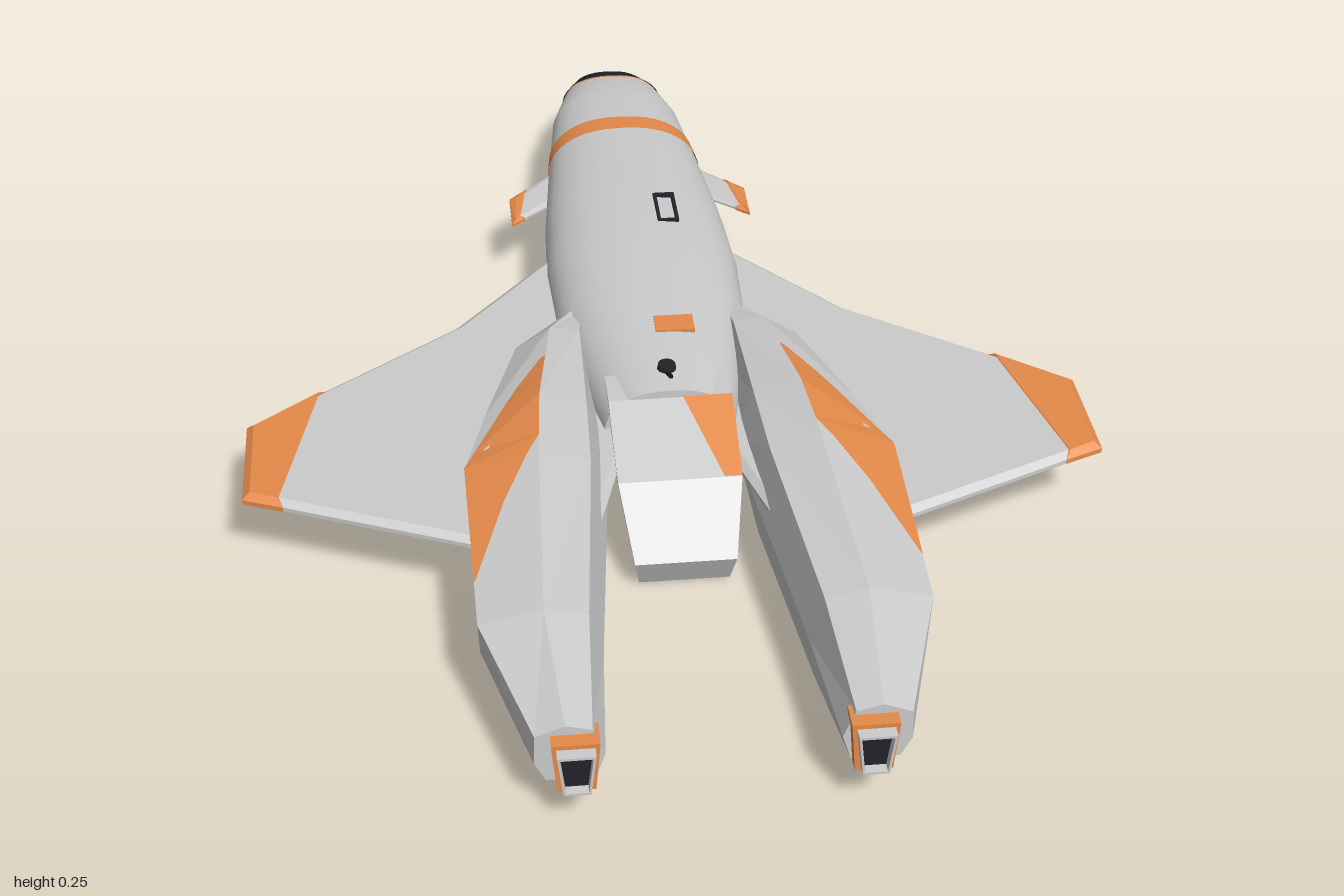
import * as THREE from 'three';
import { mergeVertices } from 'three/addons/utils/BufferGeometryUtils.js';

const mat = (color, flat = true) => new THREE.MeshStandardMaterial({ color, flatShading: flat, side: THREE.DoubleSide });
const GREY = mat(0xcccccc), SMOOTH = mat(0xcccccc, false);
const ORANGE = mat(0xe58a4a), ORANGE_SMOOTH = mat(0xe58a4a, false);
const BLACK = mat(0x22222a), BLACK_SMOOTH = mat(0x22222a, false);

// Skin through rows of [x, y, z] points; rows run along +z, rings counter-clockwise seen from +z
function loft(rows, closed = true, caps = closed) {
  const n = rows[0].length, pos = rows.flat(2), index = [];
  for (let i = 0; i < rows.length - 1; i++) {
    for (let j = 0; j < (closed ? n : n - 1); j++) {
      const k = (j + 1) % n, a = i * n + j, b = i * n + k;
      index.push(a, b, a + n, b, b + n, a + n);
    }
  }
  if (caps) {
    for (const end of [0, 1]) {
      const base = pos.length / 3;
      pos.push(...rows[end ? rows.length - 1 : 0].flat());
      for (let j = 1; j < n - 1; j++) index.push(base, base + (end ? j : j + 1), base + (end ? j + 1 : j));
    }
  }
  const g = new THREE.BufferGeometry();
  g.setAttribute('position', new THREE.Float32BufferAttribute(pos, 3));
  g.setIndex(index);
  g.computeVertexNormals();
  return g;
}

// Mirror a geometry across x = 0 and restore its winding
function mirror(geo) {
  const g = mergeVertices(geo.clone()).scale(-1, 1, 1), ix = g.index.array;
  for (let i = 0; i < ix.length; i += 3) [ix[i], ix[i + 1]] = [ix[i + 1], ix[i]];
  return g;
}

// Straight-line lookup in a table whose first column is z
function lookup(table, z) {
  let i = 0;
  while (i < table.length - 2 && z > table[i + 1][0]) i++;
  const a = table[i], b = table[i + 1], t = THREE.MathUtils.clamp((z - a[0]) / (b[0] - a[0]), 0, 1);
  return a.map((v, k) => v + (b[k] - v) * t);
}

// Fuselage stations: z, half width, top, bottom
const BODY = [
  [-1, 0.022, 0.132, 0.106], [-0.985, 0.047, 0.147, 0.1], [-0.95, 0.07, 0.168, 0.093],
  [-0.88, 0.095, 0.195, 0.083], [-0.78, 0.123, 0.207, 0.071], [-0.6, 0.143, 0.216, 0.06],
  [-0.4, 0.162, 0.226, 0.05], [-0.22, 0.17, 0.232, 0.046], [-0.05, 0.163, 0.228, 0.045],
  [0.12, 0.135, 0.222, 0.05], [0.25, 0.108, 0.214, 0.057],
];
function skin(z, a, off = 0) {
  const [, w, top, bot] = lookup(BODY, z), cy = bot + 0.45 * (top - bot);
  const bend = (v) => Math.sign(v) * Math.abs(v) ** 0.86;
  const h = Math.sin(a) > 0 ? top - cy : cy - bot;
  return [(w + off) * bend(Math.cos(a)), cy + (h + off) * bend(Math.sin(a)), z];
}
const angles = (n, span) => Array.from({ length: n }, (_, i) => (i / n) * span);

// Engine pod stations: z, then x, y of seven corners from inner bottom round to inner side
const POD = [
  [-0.05, 0.12, 0.08, 0.14, 0.08, 0.15, 0.12, 0.15, 0.165, 0.135, 0.185, 0.12, 0.18, 0.11, 0.12],
  [0.03, 0.12, 0.06, 0.19, 0.06, 0.235, 0.1, 0.238, 0.165, 0.18, 0.202, 0.13, 0.195, 0.11, 0.12],
  [0.25, 0.12, 0.045, 0.25, 0.045, 0.295, 0.12, 0.298, 0.185, 0.21, 0.222, 0.135, 0.2, 0.105, 0.11],
  [0.4, 0.125, 0.036, 0.28, 0.036, 0.332, 0.13, 0.336, 0.192, 0.22, 0.22, 0.14, 0.198, 0.115, 0.11],
  [0.75, 0.16, 0.038, 0.28, 0.038, 0.328, 0.125, 0.33, 0.175, 0.235, 0.197, 0.17, 0.185, 0.15, 0.11],
  [0.96, 0.178, 0.068, 0.248, 0.068, 0.264, 0.1, 0.262, 0.148, 0.22, 0.165, 0.182, 0.155, 0.165, 0.11],
];
const podRing = (s) => [0, 1, 2, 3, 4, 5, 6].map((k) => [s[1 + 2 * k], s[2 + 2 * k], s[0]]);

// Point on the pod's upper outer facet: s = 0 at the ridge, 1 at the outer edge
function podTop(z, s) {
  const p = lookup(POD, z);
  return [p[9] + (p[7] - p[9]) * s, p[10] + (p[8] - p[10]) * s + 0.003, z];
}

// Thin bevelled plate from an x, z outline
function plate(points, y, thick, grow = 0) {
  const bt = thick * 0.35, bs = 0.012, depth = thick - 2 * bt;
  const shape = new THREE.Shape(points.map(([x, z]) => new THREE.Vector2(x, z)));
  return new THREE.ExtrudeGeometry(shape, {
    depth, bevelThickness: bt, bevelSize: bs, bevelOffset: grow - bs, bevelSegments: 1,
  }).rotateX(Math.PI / 2).translate(0, y + depth / 2, 0);
}

// Tapered rectangular duct along z
function duct(outer, inner, z, depth) {
  const trap = ([t, b, y1, y0]) => [[-b, y0], [b, y0], [t, y1], [-t, y1]].map((p) => new THREE.Vector2(...p));
  const shape = new THREE.Shape(trap(outer));
  if (inner) shape.holes.push(new THREE.Path(trap(inner)));
  return new THREE.ExtrudeGeometry(shape, { depth, bevelEnabled: false }).translate(0.207, 0, z);
}

export function createModel() {
  const model = new THREE.Group();
  model.name = 'aircraft';
  const add = (name, geo, material, parent = model) => {
    const m = new THREE.Mesh(geo, material);
    m.name = name;
    parent.add(m);
    return m;
  };
  const pair = (name, geo, material) => {
    add(name + 'Left', geo, material);
    add(name + 'Right', mirror(geo), material);
  };

  // Fuselage with slanted band and dark upper nose
  const ring = angles(40, Math.PI * 2), arc = [...angles(20, Math.PI), Math.PI];
  add('fuselage', loft(BODY.map(([z]) => ring.map((a) => skin(z, a)))), SMOOTH);
  add('noseBand', loft([-0.025, 0, 0.025].map((d) =>
    ring.map((a) => skin(-0.62 - 0.03 * Math.sin(a) + d, a, 0.002))), true, false), ORANGE_SMOOTH);
  const noseRows = [-1, -0.985, -0.95, -0.88].map((z) => arc.map((a) => skin(z, a, 0.002)));
  noseRows.unshift(arc.map(() => [0, 0.118, -1.001]));
  add('noseCap', loft(noseRows, false), BLACK_SMOOTH);
  add('noseTrim', loft([-0.88, -0.874].map((z) => arc.map((a) => skin(z, a, 0.002))), false), ORANGE_SMOOTH);

  // Wedge tail: half width, y, z of the top edge, then of the bottom edge
  const tail = [
    [0.1, 0.2, 0.18, 0.09, 0.058, 0.18], [0.1, 0.2, 0.25, 0.09, 0.058, 0.25],
    [0.098, 0.148, 0.4, 0.085, 0.058, 0.39], [0.08, 0.055, 0.49, 0.072, 0, 0.465],
  ];
  add('tailWedge', loft(tail.map(([w, y, z, v, b, c]) => [[w, y, z], [-w, y, z], [-v, b, c], [v, b, c]])), GREY);
  add('tailPanel', loft([
    [[0.1, 0.202, 0.25], [0.02, 0.202, 0.25]], [[0.098, 0.15, 0.4], [0.07, 0.15, 0.4]],
  ], false), ORANGE);

  // Wings and foreplanes with coloured tips
  pair('wing', plate([[0.08, -0.36], [0.17, -0.28], [0.335, -0.08], [0.68, 0.18], [0.68, 0.37],
    [0.335, 0.515], [0.15, 0.55], [0.08, 0.3]], 0.134, 0.024), GREY);
  pair('wingTip', plate([[0.56, 0.09], [0.68, 0.18], [0.68, 0.37], [0.62, 0.394]], 0.134, 0.027, 0.002), ORANGE);
  pair('foreplane', plate([[0.1, -0.65], [0.22, -0.52], [0.22, -0.43], [0.1, -0.535]], 0.13, 0.012), GREY);
  pair('foreplaneTip', plate([[0.188, -0.555], [0.22, -0.52], [0.22, -0.43], [0.199, -0.449]], 0.13, 0.015, 0.002), ORANGE);

  // Faceted engine pods with a coloured panel on the upper outer facet
  pair('enginePod', loft(POD.map(podRing)), GREY);
  const panel = [[0.13, 0, 0.1], [0.2, 0, 0.5], [0.25, 0, 0.65], [0.36, 0, 0.93], [0.4, 0.15, 1],
    [0.5, 0.5, 1], [0.66, 0.98, 1]];
  pair('podPanel', loft(panel.map(([z, s0, s1]) => [podTop(z, s1), podTop(z, s0)]), false), ORANGE);

  // Exhausts
  pair('exhaustFrame', duct([0.034, 0.027, 0.149, 0.066], [0.026, 0.018, 0.141, 0.074], 0.94, 0.042), ORANGE);
  pair('exhaustLip', duct([0.027, 0.019, 0.142, 0.073], [0.023, 0.016, 0.138, 0.077], 0.95, 0.05), GREY);
  pair('exhaustCore', duct([0.023, 0.016, 0.138, 0.077], null, 0.95, 0.035), BLACK);

  // Aerial on a round foot
  const a = new THREE.Vector3(0, 0.21, 0.19), b = new THREE.Vector3(0, 0.245, 0.255);
  add('aerialRod', new THREE.TubeGeometry(new THREE.LineCurve3(a, b), 1, 0.004, 8), BLACK);
  add('aerialFoot', new THREE.CylinderGeometry(0.014, 0.016, 0.012, 16).translate(0, 0.22, 0.19), BLACK_SMOOTH);

  // Small hatches on the back
  add('rearHatch', new THREE.BoxGeometry(0.065, 0.008, 0.045).translate(0.025, 0.222, 0.07), ORANGE);
  const hatch = new THREE.Group();
  hatch.name = 'hatchFrame';
  model.add(hatch);
  for (const s of [-1, 1]) {
    add('hatchSide', new THREE.BoxGeometry(0.006, 0.008, 0.09).translate(0.05 + s * 0.016, 0.228, -0.3), BLACK, hatch);
    add('hatchEnd', new THREE.BoxGeometry(0.038, 0.008, 0.006).translate(0.05, 0.228, -0.3 + s * 0.045), BLACK, hatch);
  }
  return model;
}
